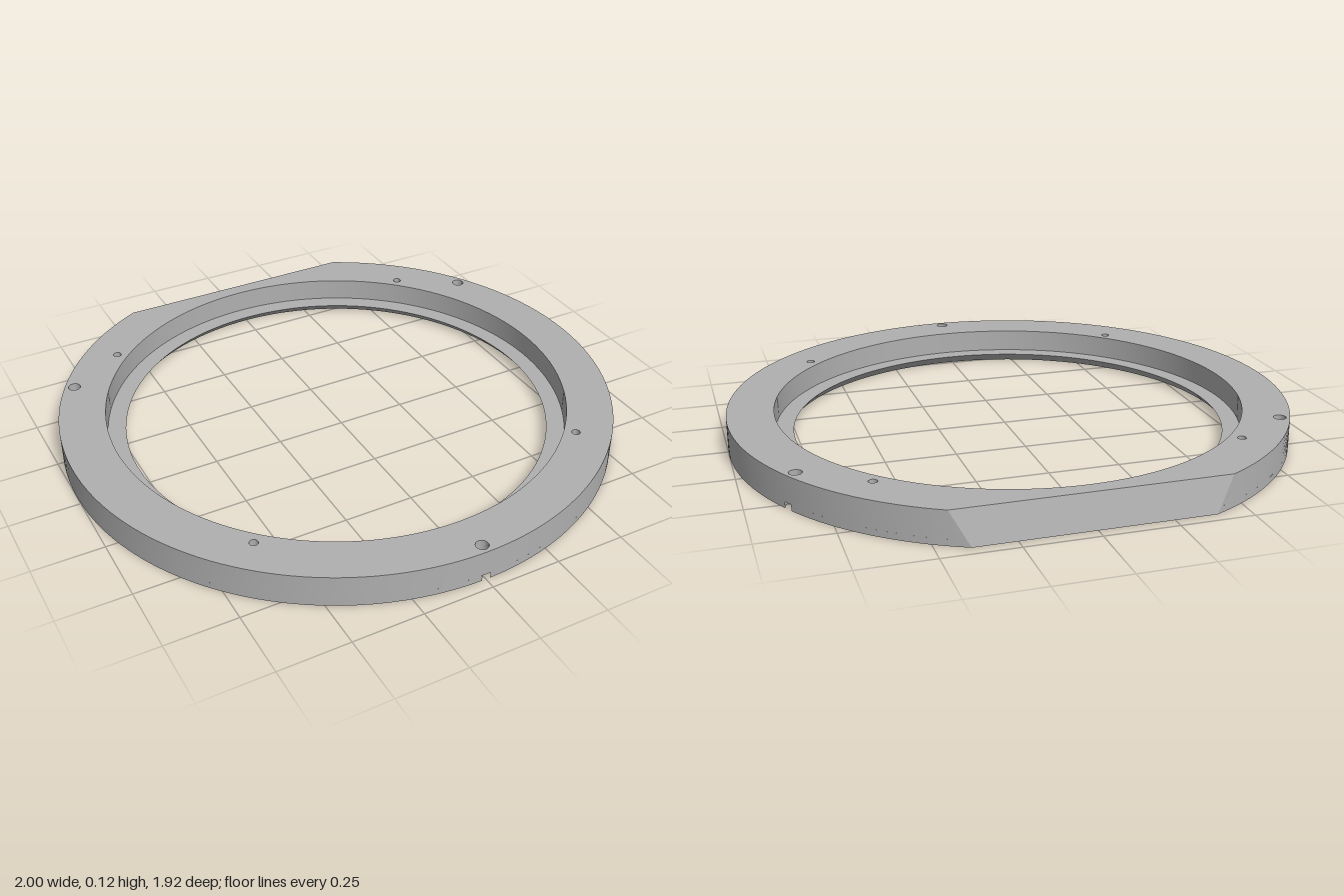
import * as THREE from 'three';
import { toCreasedNormals } from 'three/addons/utils/BufferGeometryUtils.js';

const H = 0.115;          // ring height
const CZ = -0.04;         // ring axis in z
const LEDGE = 0.032;      // height of the inner ledge
const CB = 0.022;         // counterbore depth
const CB_R = 0.038, BOLT_R = 0.022, BOLT_P = 0.965;
const PIN_R = 0.015, PIN_P = 0.877, PIN_FLOOR = 0.05;
const BOLTS = [Math.PI / 3, Math.PI, Math.PI * 5 / 3];
const PINS = [1, 3, 5, 7].map((k) => k * Math.PI / 4);

// Angles run from the back (-z) towards +x; points are (x, z).
const polar = (r, a) => new THREE.Vector2(r * Math.sin(a), CZ - r * Math.cos(a));

function arc(r, from, to, n) {
  return Array.from({ length: n + 1 }, (_, i) => polar(r, from + (to - from) * i / n));
}

function circle(r, n = 128, c = new THREE.Vector2(0, CZ)) {
  return Array.from({ length: n }, (_, i) => {
    const a = i / n * Math.PI * 2;
    return new THREE.Vector2(c.x + r * Math.sin(a), c.y - r * Math.cos(a));
  });
}

// Where the counterbores break through the rim
const BETA = Math.acos((1 + BOLT_P ** 2 - CB_R ** 2) / (2 * BOLT_P));
const GAMMA = Math.asin(Math.sin(BETA) / CB_R);

function notch(a) {
  const n = 24, c = polar(BOLT_P, a), pts = [];
  for (let i = 0; i <= n; i++) {
    const p = -GAMMA - (Math.PI * 2 - GAMMA * 2) * i / n;
    const u = CB_R * Math.cos(p), v = CB_R * Math.sin(p);
    pts.push(new THREE.Vector2(
      c.x + u * Math.sin(a) + v * Math.cos(a),
      c.y - u * Math.cos(a) + v * Math.sin(a)));
  }
  return pts;
}

// Half angle of the sloped flat at height y
const flatAngle = (y) => Math.acos(0.92 - 0.03 * y / H);

function outline(y, notched) {
  const a = flatAngle(y);
  if (!notched) return arc(1, a, Math.PI * 2 - a, 144);
  const pts = [];
  let start = a;
  for (const b of BOLTS) {
    pts.push(...arc(1, start, b - BETA, 40), ...notch(b).slice(1, -1));
    start = b + BETA;
  }
  return pts.concat(arc(1, start, Math.PI * 2 - a, 40));
}

// Wall between two closed loops; inward turns it to face the loop's centre
function wall(low, y0, high, y1, inward = false) {
  const pos = [], idx = [], n = low.length;
  low.forEach((p, i) => pos.push(p.x, y0, p.y, high[i].x, y1, high[i].y));
  for (let i = 0; i < n; i++) {
    const a = 2 * i, b = a + 1, c = 2 * ((i + 1) % n), d = c + 1;
    if (inward) idx.push(a, c, b, c, d, b);
    else idx.push(a, b, c, c, b, d);
  }
  const g = new THREE.BufferGeometry();
  g.setAttribute('position', new THREE.Float32BufferAttribute(pos, 3));
  g.setIndex(idx);
  return toCreasedNormals(g, 0.45);
}

// Flat horizontal face with holes
function cap(loop, holes, y, down = false) {
  const flip = (pts) => pts.map((p) => new THREE.Vector2(p.x, -p.y));
  const shape = new THREE.Shape(flip(loop));
  shape.holes = holes.map((h) => new THREE.Path(flip(h)));
  const g = new THREE.ShapeGeometry(shape);
  g.rotateX(-Math.PI / 2).translate(0, y, 0);
  if (down) {
    g.index.array.reverse();
    g.computeVertexNormals();
  }
  return g;
}

export function createModel() {
  const group = new THREE.Group();
  group.name = 'mountingRing';
  const grey = new THREE.MeshStandardMaterial({ color: 0xb0b0b0 });
  grey.name = 'grey metal';
  const add = (name, geometry) => {
    const mesh = new THREE.Mesh(geometry, grey);
    mesh.name = name;
    group.add(mesh);
  };

  const upperBore = circle(0.835), lip = circle(0.77), lowerBore = circle(0.8);
  const bolts = BOLTS.map((a) => circle(BOLT_R, 24, polar(BOLT_P, a)));
  const pins = PINS.map((a) => circle(PIN_R, 20, polar(PIN_P, a)));

  // Body faces
  add('topFace', cap(outline(H), [upperBore, ...bolts, ...pins], H));
  add('bottomFace', cap(outline(0, true), [lowerBore], 0, true));
  add('rimLower', wall(outline(0, true), 0, outline(CB, true), CB));
  add('rimUpper', wall(outline(CB), CB, outline(H), H));

  // Stepped bore with a bevelled lip
  add('boreWall', wall(upperBore, LEDGE, upperBore, H, true));
  add('boreLedge', cap(upperBore, [lip], LEDGE));
  add('lipBevel', wall(lowerBore, 0, lip, LEDGE, true));

  // Through holes with counterbores underneath
  BOLTS.forEach((a, i) => {
    add('boltHole', wall(bolts[i], CB, bolts[i], H, true));
    const seat = [...notch(a), polar(1, a)];
    add('counterboreSeat', cap(seat, [bolts[i]], CB, true));
  });

  // Blind pin holes in the top
  for (const pin of pins) {
    add('pinHole', wall(pin, PIN_FLOOR, pin, H, true));
    add('pinHoleFloor', cap(pin, [], PIN_FLOOR));
  }
  return group;
}
